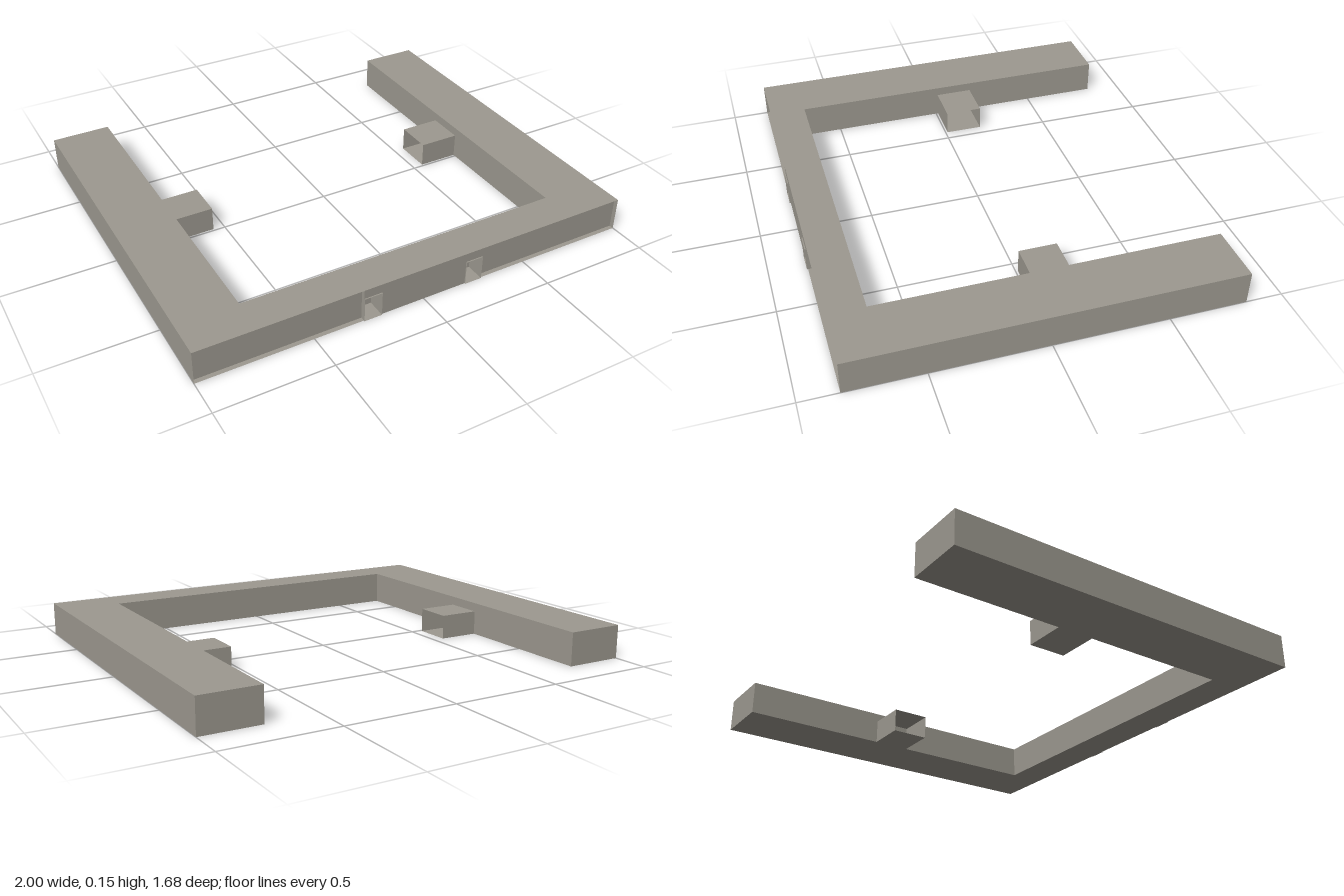
import * as THREE from 'three';

export function createModel() {
  const group = new THREE.Group();
  const stone = new THREE.MeshStandardMaterial({ color: 0x9d9990, side: THREE.DoubleSide });
  stone.name = 'warm grey';

  const H = 0.15, LOW = 0.11;            // wall height, tab height
  const FRONT = 0.835, PANEL = 0.815;    // front face and recessed panel depth

  // Horizontal slab between two heights from a plan outline given as [x, z]
  function slab(name, half, y0, y1) {
    const mirrored = half.map(([x, z]) => [-x, z]).reverse();
    const shape = new THREE.Shape([...half, ...mirrored].map(([x, z]) => new THREE.Vector2(x, z)));
    const geo = new THREE.ExtrudeGeometry(shape, { depth: y1 - y0, bevelEnabled: false });
    geo.rotateX(Math.PI / 2).translate(0, y1, 0);
    const mesh = new THREE.Mesh(geo, stone);
    mesh.name = name;
    group.add(mesh);
  }

  // Box with one face left open (0 +x, 1 -x, 4 +z)
  function openBox(name, x0, x1, y1, z0, z1, open) {
    const geo = new THREE.BoxGeometry(x1 - x0, y1, z1 - z0);
    const index = Array.from(geo.index.array);
    index.splice(open * 6, 6);
    geo.setIndex(index);
    geo.clearGroups();
    geo.translate((x0 + x1) / 2, y1 / 2, (z0 + z1) / 2);
    const mesh = new THREE.Mesh(geo, stone);
    mesh.name = name;
    group.add(mesh);
  }

  // U-shaped wall: two side arms and a front bar, with pockets in the lower layer
  const inner = [[0.735, 0.67], [0.735, -0.84], [1, -0.84], [1, PANEL], [0.28, PANEL]];
  slab('lowerWall', [...inner, [0.28, 0.755], [0.2, 0.755], [0.2, FRONT]], 0, LOW);
  slab('upperWall', [...inner, [0.28, FRONT]], LOW, H);

  for (const s of [1, -1]) {
    const side = s > 0 ? 'left' : 'right';
    const span = (a, b) => (s > 0 ? [a, b] : [-b, -a]);
    // Shallow recessed panel, pocket in the front bar, hollow tab on the arm
    openBox(side + 'FrontPanel', ...span(0.28, 1), H, PANEL, FRONT, 4);
    openBox(side + 'FrontPocket', ...span(0.2, 0.28), LOW, 0.755, 0.84, 4);
    openBox(side + 'ArmTab', ...span(0.55, 0.735), LOW, -0.18, -0.01, s > 0 ? 1 : 0);
  }
  return group;
}
